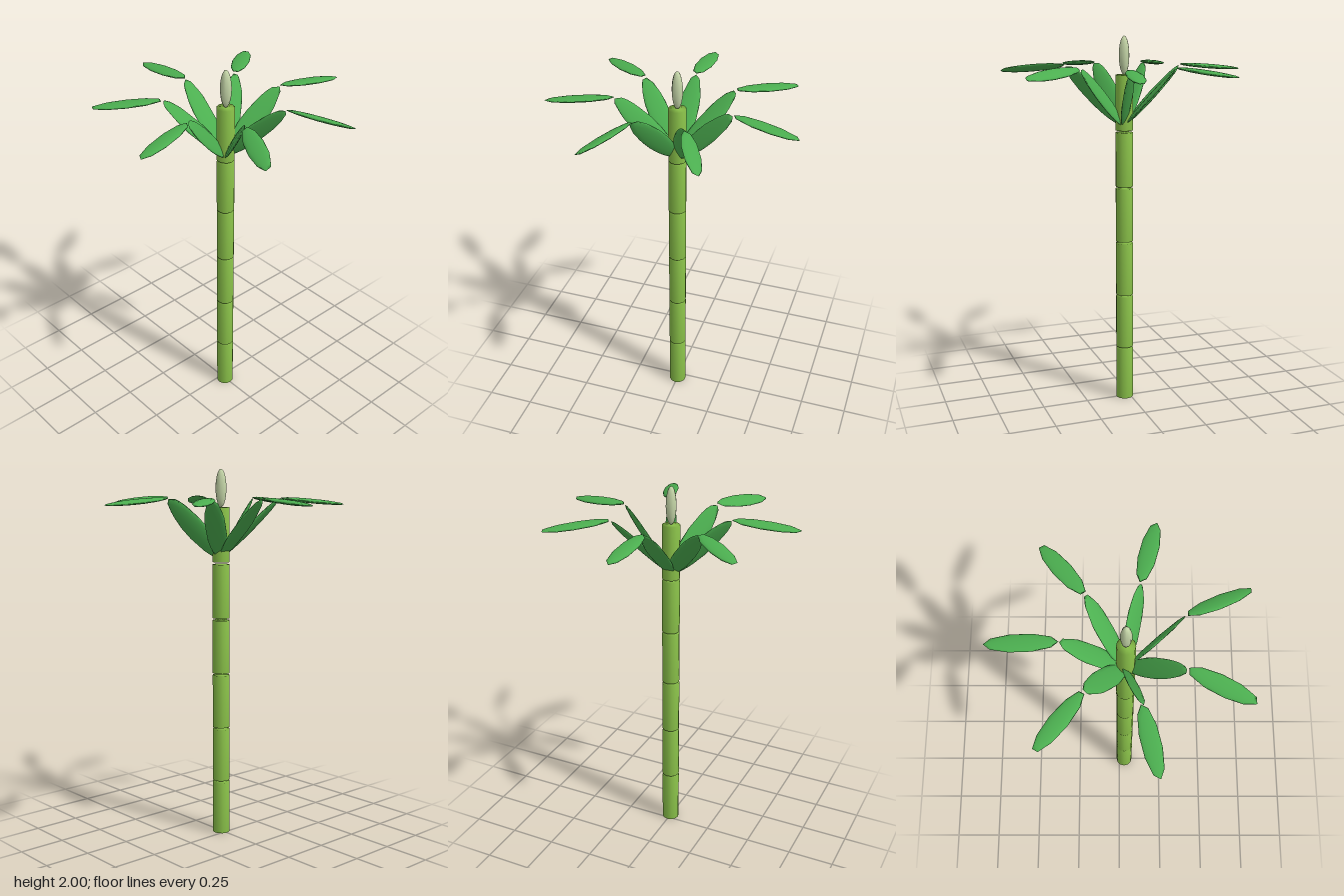
import * as THREE from 'three';
import { mergeVertices } from 'three/addons/utils/BufferGeometryUtils.js';

const AXIS_Z = 0.03;
const FORWARD = new THREE.Vector3(0, 0, -1);

const stemMat = new THREE.MeshStandardMaterial({ color: 0x8bc34a });
const leafMat = new THREE.MeshStandardMaterial({ color: 0x4caf50 });
const budMat = new THREE.MeshStandardMaterial({ color: 0xc5d6a8 });

// Cylinder with normals blended over its rims
function softCylinder(radius, height) {
  const g = new THREE.CylinderGeometry(radius, radius, height, 12);
  g.deleteAttribute('normal');
  g.deleteAttribute('uv');
  const merged = mergeVertices(g);
  merged.computeVertexNormals();
  return merged;
}

// Flat ellipsoid between two points: a round ball stretched along the line
function leafBlade(from, to, halfWidth, halfThickness) {
  const dir = to.clone().sub(from);
  const halfLength = dir.length() / 2;
  const turn = new THREE.Matrix4().makeRotationFromQuaternion(
    new THREE.Quaternion().setFromUnitVectors(FORWARD, dir.normalize()));
  const stretch = turn.clone()
    .multiply(new THREE.Matrix4().makeScale(halfWidth, halfThickness, halfLength))
    .multiply(turn.clone().transpose());
  const g = new THREE.SphereGeometry(1, 10, 8);
  g.rotateY(Math.PI / 2);
  g.applyMatrix4(stretch);
  const mesh = new THREE.Mesh(g, leafMat);
  mesh.position.copy(from).lerp(to, 0.5);
  return mesh;
}

export function createModel() {
  const model = new THREE.Group();
  const plant = new THREE.Group();
  plant.name = 'plant';
  plant.position.z = AXIS_Z;
  model.add(plant);

  // Stem: six segments with narrow gaps
  const segment = softCylinder(0.047, 0.29);
  for (let i = 0; i < 6; i++) {
    const m = new THREE.Mesh(segment, stemMat);
    m.name = `stemSegment${i + 1}`;
    m.position.y = 0.145 + i * 0.302;
    plant.add(m);
  }

  // Bud over the stem
  const bud = new THREE.Mesh(new THREE.SphereGeometry(1, 8, 10), budMat);
  bud.name = 'bud';
  bud.scale.set(0.029, 0.1, 0.029);
  bud.position.y = 1.9;
  plant.add(bud);

  // Crown: seven rising leaves, each followed by a nearly level one
  for (let i = 0; i < 7; i++) {
    const a = (i / 7) * Math.PI * 2;
    const at = (r, y) => new THREE.Vector3(Math.sin(a) * r, y, -Math.cos(a) * r);
    const lower = leafBlade(at(0, 1.535), at(0.308, 1.843), 0.056, 0.011);
    lower.name = `lowerLeaf${i + 1}`;
    const upper = leafBlade(at(0.31, 1.848), at(0.662, 1.815), 0.047, 0.012);
    upper.name = `upperLeaf${i + 1}`;
    plant.add(lower, upper);
  }
  return model;
}
